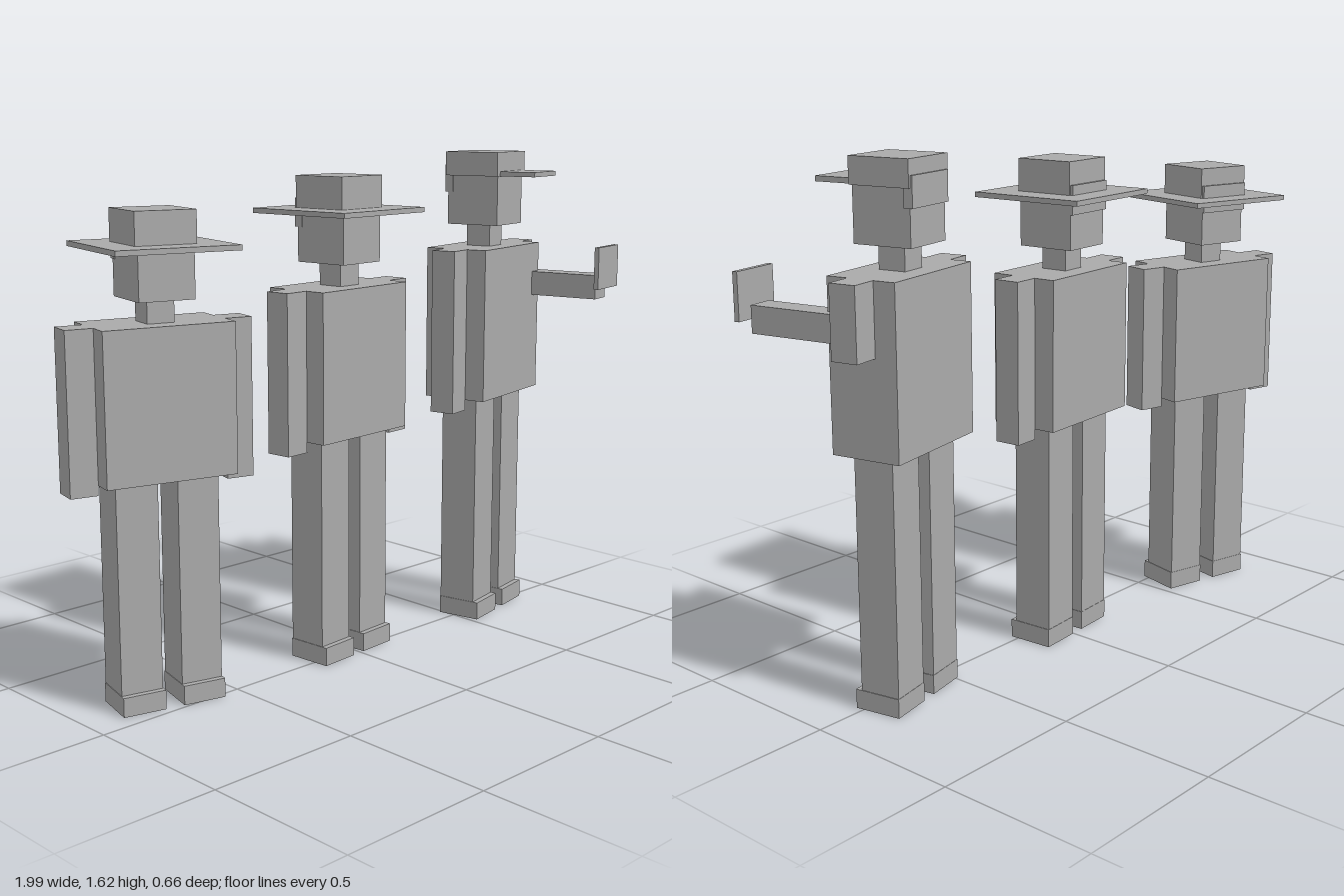
import * as THREE from 'three';

const grey = new THREE.MeshStandardMaterial({ color: 0xaaaaaa });
grey.name = 'plain grey';

// Box from its centre x and z, its bottom and top heights, width and depth
function box(group, name, x, z, y0, y1, w, d) {
  const mesh = new THREE.Mesh(new THREE.BoxGeometry(w, y1 - y0, d), grey);
  mesh.position.set(x, (y0 + y1) / 2, z);
  mesh.name = name;
  group.add(mesh);
  return mesh;
}

function figure(p) {
  const g = new THREE.Group();
  g.name = p.name;
  const armW = 0.085;
  const armX = p.width / 2 + armW / 2;

  // Legs and shoes
  for (const side of [-1, 1]) {
    const label = side > 0 ? 'left' : 'right';
    box(g, label + 'Leg', side * p.legX, 0, 0.06, p.hip, 0.131, 0.13);
    box(g, label + 'Shoe', side * p.legX, 0.009, 0, 0.06, 0.135, 0.15);
  }

  // Torso, neck and head
  box(g, 'torso', 0, 0, p.hip, p.shoulder, p.width, 0.224);
  box(g, 'neck', 0, 0, p.shoulder, p.chin, 0.085, 0.088);
  box(g, 'head', 0, 0, p.chin, p.brim, 0.174, 0.19);
  box(g, 'hair', 0, -0.09, p.chin + 0.11, p.chin + 0.2, 0.18, 0.03);

  // Arms
  box(g, 'rightArm', -armX, 0, p.hand, p.shoulder, armW, 0.085);
  if (p.raisedArm) {
    box(g, 'leftUpperArm', armX, 0, 1.08, p.shoulder, armW, 0.085);
    box(g, 'leftForearm', 0.187, 0.197, 1.115, 1.197, 0.08, 0.315);
    box(g, 'heldPanel', 0.186, 0.375, 1.153, 1.296, 0.157, 0.016);
  } else {
    box(g, 'leftArm', armX, 0, p.hand, p.shoulder, armW, 0.085);
  }

  // Headwear: peaked cap or wide-brimmed hat
  if (p.cap) {
    box(g, 'cap', 0, 0, p.brim, p.top, 0.196, 0.198);
    box(g, 'capPeak', 0, 0.145, p.brim, p.brim + 0.016, 0.155, 0.165);
  } else {
    box(g, 'hatBrim', 0, 0, p.brim, p.brim + 0.016, 0.382, 0.382);
    box(g, 'hatCrown', 0, 0, p.brim + 0.016, p.top, 0.19, 0.192);
  }

  g.position.set(p.x, 0, p.z);
  g.rotation.y = THREE.MathUtils.degToRad(p.turn);
  return g;
}

export function createModel() {
  const model = new THREE.Group();
  model.name = 'threeStandingFigures';
  const people = [
    { name: 'rightFigure', x: -0.704, z: -0.10, turn: -14.3, width: 0.41, legX: 0.097,
      hip: 0.70, hand: 0.67, shoulder: 1.155, chin: 1.224, brim: 1.367, top: 1.481 },
    { name: 'middleFigure', x: -0.016, z: -0.045, turn: 4.4, width: 0.398, legX: 0.092,
      hip: 0.737, hand: 0.704, shoulder: 1.211, chin: 1.284, brim: 1.438, top: 1.555 },
    { name: 'leftFigure', x: 0.661, z: -0.024, turn: 12, width: 0.389, legX: 0.093,
      hip: 0.785, hand: 0.75, shoulder: 1.296, chin: 1.37, brim: 1.535, top: 1.615,
      cap: true, raisedArm: true },
  ];
  for (const p of people) model.add(figure(p));
  return model;
}
